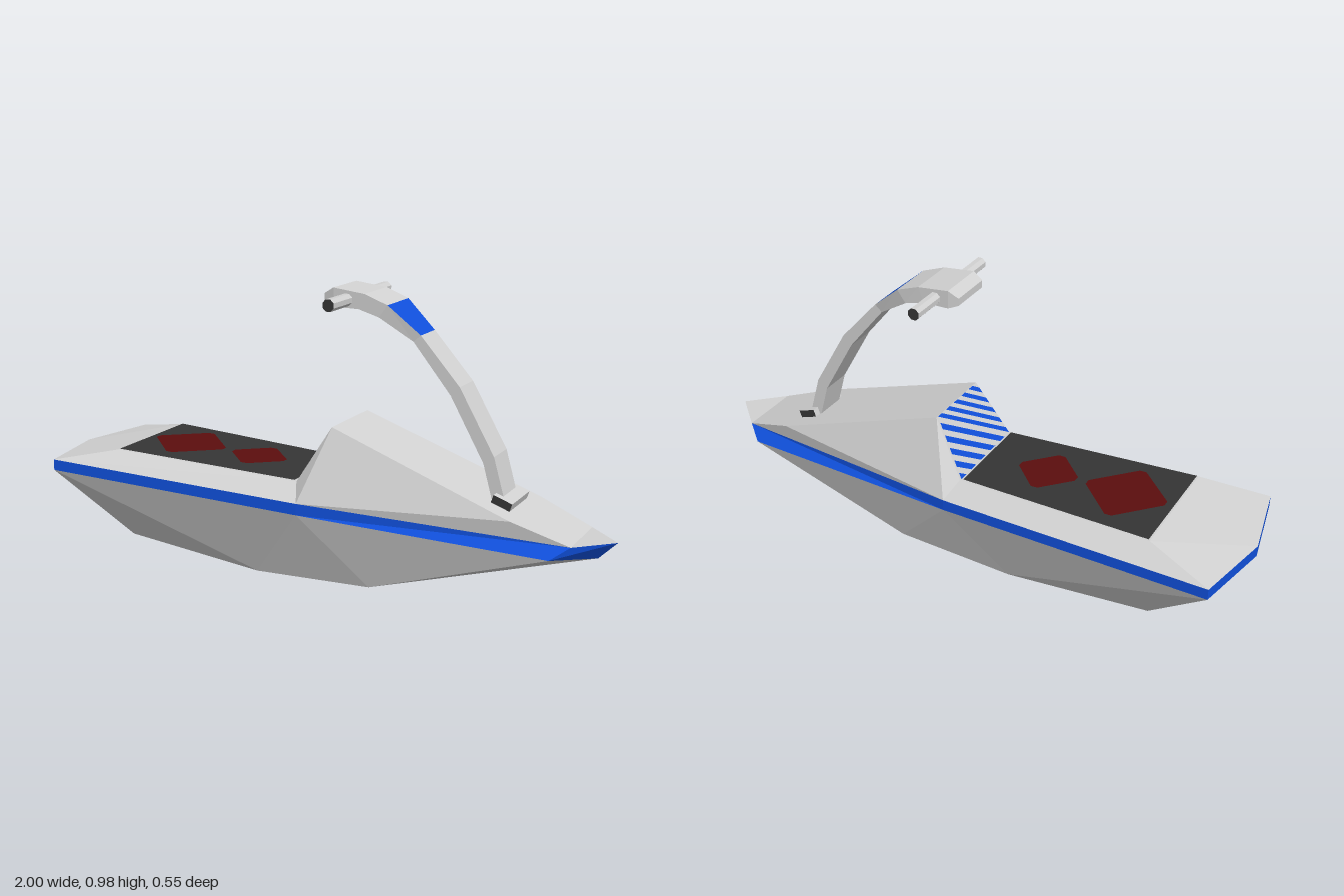
import * as THREE from 'three';

const mat = (name, color) => {
  const m = new THREE.MeshStandardMaterial({ color });
  m.name = name;
  return m;
};

// Flat-shaded mesh from polygons; each is turned to face away from its inner point
function facets(name, material, polys, inner = [0, 0.2, 0]) {
  const out = [];
  for (const poly of polys) {
    const p = poly.map(c => new THREE.Vector3(...c));
    const ref = new THREE.Vector3(...(poly.inner || inner));
    for (let i = 1; i < p.length - 1; i++) {
      let [a, b, c] = [p[0], p[i], p[i + 1]];
      const n = b.clone().sub(a).cross(c.clone().sub(a));
      if (n.dot(a.clone().sub(ref)) < 0) [b, c] = [c, b];
      for (const v of [a, b, c]) out.push(v.x, v.y, v.z);
    }
  }
  const g = new THREE.BufferGeometry();
  g.setAttribute('position', new THREE.Float32BufferAttribute(out, 3));
  g.computeVertexNormals();
  const mesh = new THREE.Mesh(g, material);
  mesh.name = name;
  return mesh;
}

const flip = ([x, y, z]) => [x, y, -z];
const bothSides = polys => polys.flatMap(p => [p, p.map(flip)]);
const across = (a, b) => [a, b, flip(b), flip(a)];

export function createModel() {
  const group = new THREE.Group();
  group.name = 'watercraft';
  const light = mat('lightGrey', 0xd2d2d2);
  const blue = mat('blue', 0x1050dc);
  const dark = mat('darkGrey', 0x353535);
  const red = mat('darkRed', 0x5c0e0e);

  // Key points of the +z half: band bottom, band top, keel edge, deck
  const low = [[-1, 0.295, 0], [-0.945, 0.295, 0.275], [0, 0.258, 0.23], [0.83, 0.217, 0.152], [0.94, 0.195, 0]];
  const top = [[-1, 0.333, 0], [-0.945, 0.333, 0.275], [0, 0.297, 0.23], [0.885, 0.255, 0.11], [1, 0.255, 0]];
  const keel = [[-0.71, 0.055, 0.14], [-0.2, 0.003, 0.14], [0.22, 0.018, 0.14]];
  const deckBack = [-0.72, 0.38, 0.2], deckFront = [-0.03, 0.352, 0.17];
  const humpTop = [0.08, 0.54, 0.13], humpNose = [0.70, 0.32, 0.145];

  // Lower hull
  group.add(facets('hull', light, [
    ...bothSides([
      [low[0], low[1], keel[0]],
      [low[1], low[2], keel[1], keel[0]],
      [low[2], low[3], keel[2]],
      [low[2], keel[2], keel[1]],
      [low[3], low[4], keel[2]],
    ]),
    across(keel[0], keel[1]),
    across(keel[1], keel[2]),
    [low[0], keel[0], flip(keel[0])],
    [low[4], keel[2], flip(keel[2])],
  ]));

  // Blue band around the rim
  const band = [];
  for (let i = 0; i < 4; i++) band.push([low[i], low[i + 1], top[i + 1], top[i]]);
  group.add(facets('rimBand', blue, bothSides(band)));

  // Deck and front hump
  group.add(facets('deck', light, [
    ...bothSides([
      [top[0], top[1], deckBack],
      [top[1], top[2], deckFront, deckBack],
    ]),
    [top[0], deckBack, flip(deckBack)],
    across(deckBack, deckFront),
  ]));
  group.add(facets('hump', light, [
    ...bothSides([
      [deckFront, top[2], humpTop],
      [humpTop, top[2], humpNose],
      [top[2], top[3], humpNose],
    ]),
    across(deckFront, humpTop),
    across(humpTop, humpNose),
    across(humpNose, top[3]),
    [top[3], top[4], flip(top[3])],
  ]));

  // Standing mat with two diamond grips
  const deckY = x => 0.38 - (x + 0.72) * 0.0406;
  group.add(facets('standingMat', dark, [
    across([-0.715, deckY(-0.715) + 0.003, 0.197], [-0.04, deckY(-0.04) + 0.003, 0.165]),
  ]));
  for (const [cx, r] of [[-0.55, 0.138], [-0.27, 0.103]]) {
    const t = 0.012;
    const shape = [[r, t], [t, r], [-t, r], [-r, t], [-r, -t], [-t, -r], [t, -r], [r, -t]];
    group.add(facets('gripDiamond', red, [
      shape.map(([x, z]) => [cx + x, deckY(cx + x) + 0.006, z]),
    ]));
  }

  // Diagonal stripes on the rear face of the hump
  const onPanel = (u, v) => {
    const w = 0.165 + (0.126 - 0.165) * v;
    return [-0.03 + 0.11 * v - 0.003, 0.352 + 0.188 * v + 0.002, (2 * u - 1) * w];
  };
  const stripes = [], count = 10;
  for (let i = 0; i < count; i++) {
    const a = i * 2 / count, b = a + 1 / count;
    const ends = s => [[Math.min(s, 1), Math.max(0, s - 1)], [Math.max(0, s - 1), Math.min(s, 1)]];
    const [p, q] = ends(a), [r, s] = ends(b);
    stripes.push([p, r, s, q].map(c => onPanel(...c)));
  }
  group.add(facets('humpStripes', blue, stripes));

  // Steering arm: [outer x, outer y, inner x, inner y, half width]
  const sections = [
    [0.025, 0.965, 0.025, 0.94, 0.075],
    [0.06, 0.986, 0.06, 0.925, 0.082],
    [0.17, 0.973, 0.15, 0.923, 0.082],
    [0.25, 0.943, 0.22, 0.902, 0.08],
    [0.355, 0.852, 0.33, 0.83, 0.055],
    [0.49, 0.70, 0.46, 0.67, 0.055],
    [0.61, 0.49, 0.575, 0.465, 0.055],
    [0.65, 0.35, 0.607, 0.35, 0.055],
  ];
  const armFaces = [], panel = [];
  const outer = s => [s[0], s[1], s[4]], under = s => [s[2], s[3], s[4]];
  for (let i = 0; i < sections.length - 1; i++) {
    const a = sections[i], b = sections[i + 1];
    const inner = [(a[0] + a[2] + b[0] + b[2]) / 4, (a[1] + a[3] + b[1] + b[3]) / 4, 0];
    const add = (list, poly) => list.push(Object.assign(poly, { inner }));
    add(i === 3 ? panel : armFaces, across(outer(a), outer(b)));
    add(armFaces, across(under(a), under(b)));
    const side = [outer(a), outer(b), under(b), under(a)];
    add(armFaces, side);
    add(armFaces, side.map(flip));
    if (i === 0) add(armFaces, across(outer(a), under(a)));
  }
  group.add(facets('steeringArm', light, armFaces));
  group.add(facets('armPanel', blue, panel));

  // Handlebar with dark ends
  const barGeo = new THREE.CylinderGeometry(0.021, 0.021, 0.42, 8).toNonIndexed();
  barGeo.computeVertexNormals();
  const full = new THREE.CylinderGeometry(0.021, 0.021, 0.42, 8);
  full.groups.forEach(g => barGeo.addGroup(g.start, g.count, g.materialIndex));
  const bar = new THREE.Mesh(barGeo, [light, dark, dark]);
  bar.name = 'handlebar';
  bar.rotation.set(Math.PI / 2, Math.PI / 8, 0);
  bar.position.set(0.108, 0.95, 0);
  group.add(bar);

  // Hinge block at the foot of the arm, dark on both ends
  const hinge = new THREE.Mesh(new THREE.BoxGeometry(0.066, 0.04, 0.16), [light, light, light, light, dark, dark]);
  hinge.name = 'armHinge';
  hinge.position.set(0.646, 0.346, 0);
  hinge.rotation.z = -0.34;
  group.add(hinge);

  return group;
}
